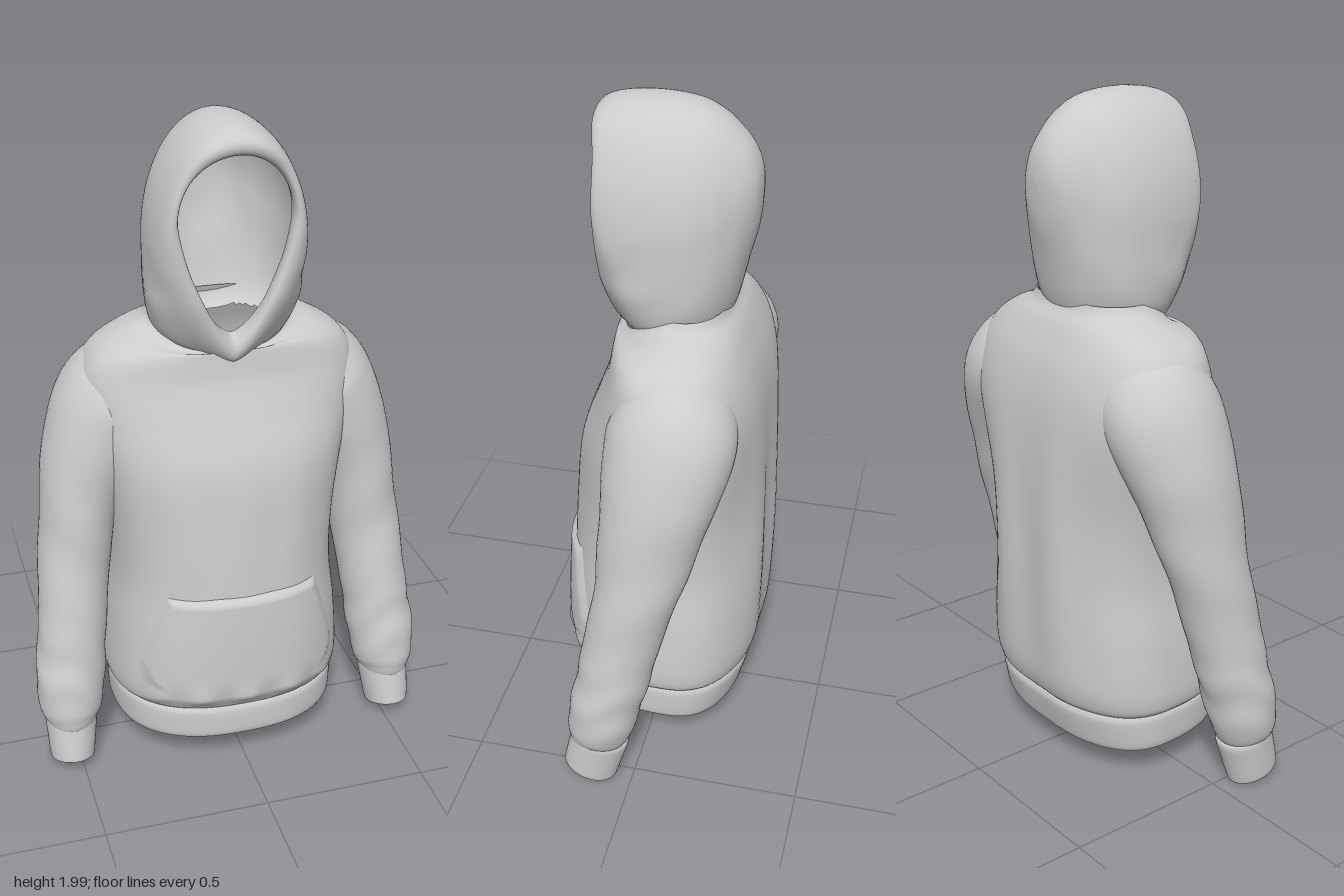
import * as THREE from 'three';

const material = new THREE.MeshStandardMaterial({ color: 0xcccccc, side: THREE.DoubleSide });

// Catmull-Rom sample of a table of keys, t in 0..1
function sample(keys, t) {
  const n = keys.length - 1;
  const f = Math.min(Math.max(t, 0), 1) * n;
  const i = Math.min(Math.floor(f), n - 1), k = f - i;
  const at = (j) => keys[Math.min(Math.max(j, 0), n)];
  return keys[0].map((_, c) => {
    const [a, b, d, e] = [at(i - 1)[c], at(i)[c], at(i + 1)[c], at(i + 2)[c]];
    return b + 0.5 * k * (d - a + k * (2 * a - 5 * b + 4 * d - e + k * (3 * (b - d) + e - a)));
  });
}

// Smooth grid surface from point(u, v); closed joins the v direction
function surface(name, nu, nv, point, { closed = true, flip = false, skip = () => false } = {}) {
  const pos = [], idx = [], cols = closed ? nv : nv + 1;
  for (let i = 0; i <= nu; i++)
    for (let j = 0; j < cols; j++) pos.push(...point(i / nu, j / nv));
  for (let i = 0; i < nu; i++)
    for (let j = 0; j < nv; j++) {
      if (skip((i + 0.5) / nu, (j + 0.5) / nv)) continue;
      const a = i * cols + j, b = a + cols, c = i * cols + ((j + 1) % cols), d = c + cols;
      if (flip) idx.push(a, c, b, c, d, b);
      else idx.push(a, b, c, c, b, d);
    }
  const g = new THREE.BufferGeometry();
  g.setAttribute('position', new THREE.Float32BufferAttribute(pos, 3));
  g.setIndex(idx);
  g.computeVertexNormals();
  const mesh = new THREE.Mesh(g, material);
  mesh.name = name;
  return mesh;
}

const bump = (x, c, w) => Math.exp(-(((x - c) / w) ** 2));
const spow = (v, e) => Math.sign(v) * Math.abs(v) ** e;
const FRONT = 0.82, MID_Z = -0.04, SHIFT = -0.006;

// Torso rings: y, half width, front z, back z, drop of the front neckline
const bodyKeys = [
  [0.212, 0.355, 0.276, -0.27, 0], [0.235, 0.37, 0.29, -0.287, 0], [0.3, 0.374, 0.298, -0.302, 0],
  [0.45, 0.363, 0.296, -0.308, 0], [0.62, 0.343, 0.287, -0.31, 0], [0.8, 0.35, 0.272, -0.308, 0],
  [1.0, 0.38, 0.247, -0.302, 0], [1.15, 0.408, 0.192, -0.29, 0], [1.25, 0.411, 0.155, -0.268, 0],
  [1.32, 0.376, 0.142, -0.24, 0], [1.368, 0.305, 0.138, -0.215, 0.025], [1.4, 0.228, 0.13, -0.19, 0.065],
  [1.425, 0.206, 0.12, -0.18, 0.085],
];
const hemKeys = [
  [0.1, 0.352, 0.282, -0.25, 0], [0.12, 0.358, 0.287, -0.258, 0], [0.185, 0.361, 0.286, -0.275, 0],
  [0.205, 0.359, 0.281, -0.274, 0], [0.212, 0.355, 0.276, -0.27, 0],
];

// Ring point: round front, flatter back, soft vertical folds
function ringPoint([y, w, zf, zb, drop], v) {
  const a = v * Math.PI * 2, s = Math.sin(a), c = Math.cos(a);
  const e = s > 0 ? FRONT : 0.8 - 0.18 * bump(y, 1.12, 0.22);
  const x = w * spow(c, e);
  let z = MID_Z + (s > 0 ? zf - MID_Z : MID_Z - zb) * spow(s, e);
  if (s < 0) z += s * 0.009 * Math.cos(x * 24 + 2.8) * bump(y, 0.65, 0.35);
  else z += s * 0.003 * Math.cos(x * 38) * bump(y, 0.82, 0.2);
  const tilt = 0.018 * Math.max(0, 1 - y / 0.3);
  return [x + SHIFT, y - drop * Math.max(0, s) + tilt * s, z];
}

// Sleeve centre line with radii: x, y, z, sideways radius, front-back radius
const sleeveKeys = [
  [0.15, 1.235, -0.05, 0.135, 0.12], [0.245, 1.214, -0.06, 0.149, 0.152], [0.328, 1.148, -0.077, 0.156, 0.184],
  [0.393, 1.01, -0.058, 0.142, 0.17], [0.438, 0.85, -0.033, 0.12, 0.143], [0.467, 0.68, -0.002, 0.109, 0.122],
  [0.485, 0.52, 0.034, 0.106, 0.112], [0.502, 0.38, 0.062, 0.105, 0.108], [0.514, 0.27, 0.086, 0.105, 0.104],
  [0.52, 0.195, 0.102, 0.094, 0.098], [0.521, 0.16, 0.11, 0.078, 0.086], [0.521, 0.145, 0.112, 0.068, 0.076],
];
const cuffKeys = [
  [0.52, 0.172, 0.095, 0.068, 0.072], [0.52, 0.162, 0.098, 0.08, 0.087], [0.523, 0.11, 0.112, 0.076, 0.087],
  [0.527, 0.04, 0.13, 0.069, 0.084], [0.527, 0.03, 0.133, 0.065, 0.081], [0.527, 0.034, 0.132, 0.059, 0.075],
  [0.526, 0.08, 0.12, 0.057, 0.072],
];

// Tube swept along keys; side is +1 for the left arm, -1 for the right
function armTube(name, keys, side, nu, wrinkle, axis) {
  return surface(name, nu, 48, (u, v) => {
    const [x, y, z, r1, r2] = sample(keys, u);
    const p = sample(keys, u + 0.01), q = sample(keys, u - 0.01);
    const T = axis ? axis.clone() : new THREE.Vector3(p[0] - q[0], p[1] - q[1], p[2] - q[2]).normalize();
    const B = new THREE.Vector3(0, 0, 1).addScaledVector(T, -T.z).normalize();
    const N = new THREE.Vector3().crossVectors(B, T);
    const a = v * Math.PI * 2;
    const folds = bump(y, 0.32, 0.13) * Math.sin(y * 42 + 2 * a + Math.sin(3 * a)) * 0.03
      + bump(y, 0.75, 0.2) * Math.sin(y * 22 + 2 * a) * 0.025;
    const k = 1 + wrinkle * folds;
    const P = new THREE.Vector3(x, y, z)
      .addScaledVector(N, r1 * k * Math.cos(a)).addScaledVector(B, r2 * k * Math.sin(a));
    return [side * P.x, P.y, P.z];
  }, { flip: side > 0 });
}

// Hood slices from the inner rim to the crown: z, top, bottom, half width, lower squareness, middle y
const hoodKeys = [
  [0.125, 1.925, 1.395, 0.168, 1.3, 1.74], [0.16, 1.918, 1.38, 0.163, 1.42, 1.74],
  [0.18, 1.93, 1.35, 0.172, 1.48, 1.73], [0.176, 1.96, 1.322, 0.192, 1.42, 1.7],
  [0.145, 1.985, 1.308, 0.21, 1.2, 1.66], [0.08, 1.999, 1.32, 0.222, 0.66, 1.64],
  [0, 2.0, 1.34, 0.223, 0.42, 1.64], [-0.08, 1.988, 1.35, 0.21, 0.45, 1.64],
  [-0.14, 1.96, 1.36, 0.18, 0.6, 1.66], [-0.185, 1.922, 1.4, 0.14, 0.85, 1.7],
  [-0.222, 1.88, 1.55, 0.1, 1, 1.73], [-0.246, 1.825, 1.65, 0.058, 1, 1.75],
  [-0.255, 1.76, 1.76, 0, 1, 1.76],
];
function hoodPoint(u, v) {
  const [z, top, bottom, w, e, mid] = sample(hoodKeys, u);
  const a = v * Math.PI * 2, s = Math.sin(a), c = Math.cos(a);
  const front = Math.max(0, z) / 0.18;
  const ex = c > 0 ? 1 : e;
  const y = c > 0 ? mid + (top - mid) * c : mid - (mid - bottom) * Math.abs(c) ** ex;
  const lean = front * (0.026 * bump(y, 1.96, 0.07) - 0.03 * Math.max(0, 1.5 - y) / 0.2);
  const fold = 1 + 0.018 * Math.sin(y * 34 + z * 20) * bump(y, 1.52, 0.1) * bump(z, 0.08, 0.1);
  return [w * spow(s, ex) * fold + SHIFT, y, z + lean];
}

// Front of the torso at a given x and y
function frontZ(x, y) {
  let lo = 0, hi = 1;
  for (let i = 0; i < 24; i++) {
    const m = (lo + hi) / 2;
    if (sample(bodyKeys, m)[0] < y) lo = m; else hi = m;
  }
  const [, w, zf] = sample(bodyKeys, lo);
  return MID_Z + (zf - MID_Z) * Math.max(0, 1 - Math.abs(x / w) ** (2 / FRONT)) ** (FRONT / 2);
}

// Kangaroo pocket: slanted hand openings, fading into the torso below them
function pocketPoint(u, v) {
  const y = 0.228 + 0.394 * u, k = v * 2 - 1;
  const low = Math.max(0, 0.38 - y) / 0.152;
  const half = y < 0.38 ? 0.312 + 0.02 * low : 0.312 - 0.08 * (y - 0.38) / 0.242;
  const x = half * k;
  const edge = Math.min(1, (1 - Math.abs(k)) * (14 - 10 * Math.min(1, low * 2)), (1 - u) * 18, 0.1 + u * 9);
  const puff = 0.006 * bump(u, 0.1, 0.1) * Math.cos(x * 44);
  return [x + SHIFT, y, frontZ(x, y) - 0.006 + edge * (0.023 + puff)];
}

export function createModel() {
  const group = new THREE.Group();
  group.name = 'hoodedSweatshirt';

  group.add(surface('torso', 80, 112, (u, v) => ringPoint(sample(bodyKeys, u), v)));
  group.add(surface('waistband', 20, 112, (u, v) => ringPoint(sample(hemKeys, u), v)));
  group.add(surface('frontPocket', 48, 72, pocketPoint, { closed: false, flip: true }));

  // Hood is open towards the neck
  group.add(surface('hood', 72, 96, hoodPoint, {
    flip: true,
    skip: (u, v) => {
      const [, y, z] = hoodPoint(u, v);
      return y < 1.372 && z < 0.05 && z > -0.15;
    },
  }));

  const cuffAxis = new THREE.Vector3(0.02, -0.95, 0.28).normalize();
  for (const [label, side] of [['left', 1], ['right', -1]]) {
    group.add(armTube(label + 'Sleeve', sleeveKeys, side, 96, 1));
    group.add(armTube(label + 'Cuff', cuffKeys, side, 24, 0, cuffAxis));
  }
  return group;
}
